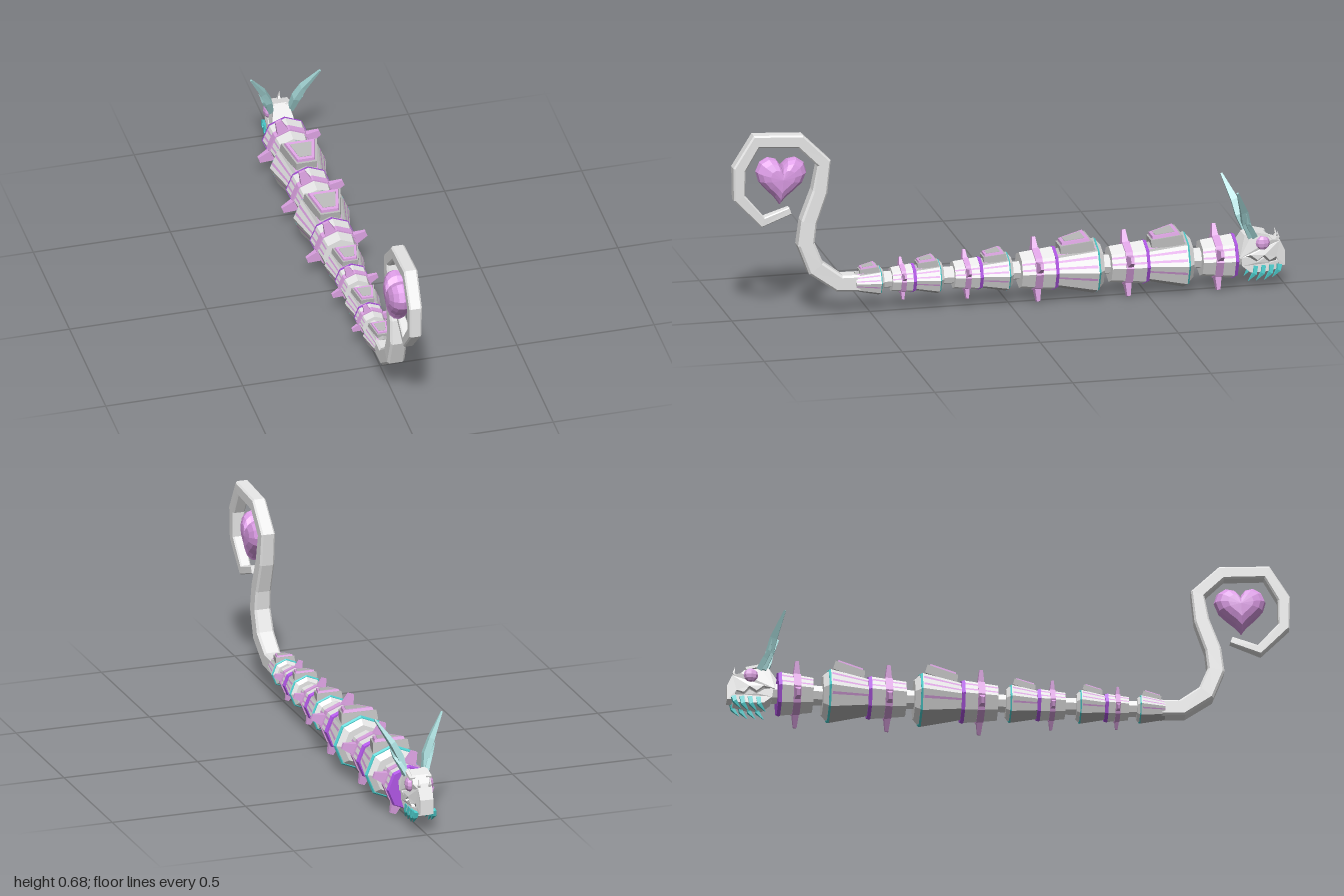
import * as THREE from 'three';

const mat = (name, color, side = THREE.FrontSide) => {
  const m = new THREE.MeshStandardMaterial({ color, side, flatShading: true });
  m.name = name;
  return m;
};
const AXIS = 0.115; // height of the body centre line

export function createModel() {
  const M = {
    light: mat('lightGrey', 0xe8e8e8),
    grey: mat('midGrey', 0xb8b8b8),
    dark: mat('darkGrey', 0x707070),
    pink: mat('pink', 0xdca2e2, THREE.DoubleSide),
    heart: mat('heartPink', 0xe2a0ec),
    purple: mat('purple', 0xbc5cf4),
    teal: mat('teal', 0x4fd2d2),
    horn: mat('paleTeal', 0xa4d6d6),
  };
  const model = new THREE.Group();
  const add = (parent, name, geo, material) => {
    const mesh = new THREE.Mesh(geo, material);
    mesh.name = name;
    parent.add(mesh);
    return mesh;
  };

  // Octagonal frustum along z, with corners on the axes
  const frustum = (z0, r0, z1, r1, open = false, start = 0, segs = 8) =>
    new THREE.CylinderGeometry(r1, r0, z1 - z0, segs, 1, open, start, segs * Math.PI / 4)
      .rotateX(Math.PI / 2).translate(0, 0, (z0 + z1) / 2);

  const meshGeo = (pos, index) => {
    const g = new THREE.BufferGeometry();
    g.setAttribute('position', new THREE.Float32BufferAttribute(pos, 3));
    g.setIndex(index);
    const flat = g.toNonIndexed();
    flat.computeVertexNormals();
    return flat;
  };

  // Tapered sweep through points [x, y, z, radius]; angles give the section corners
  const sweep = (pts, angles, squash = 1) => {
    const P = pts.map(p => new THREE.Vector3(p[0], p[1], p[2]));
    const pos = [], idx = [], n = P.length, sides = angles.length;
    P.forEach((p, i) => {
      const t = P[Math.min(i + 1, n - 1)].clone().sub(P[Math.max(i - 1, 0)]).normalize();
      const b = t.clone().cross(new THREE.Vector3(1, 0, 0)).normalize();
      const a = b.clone().cross(t);
      for (const deg of angles) {
        const w = deg * Math.PI / 180;
        const q = p.clone().addScaledVector(a, Math.cos(w) * pts[i][3] * squash)
          .addScaledVector(b, Math.sin(w) * pts[i][3]);
        pos.push(q.x, q.y, q.z);
      }
    });
    for (let i = 0; i < n - 1; i++) for (let k = 0; k < sides; k++) {
      const a = i * sides + k, b = i * sides + (k + 1) % sides;
      idx.push(a, b, a + sides, b, b + sides, a + sides);
    }
    const e = (n - 1) * sides;
    for (let k = 1; k < sides - 1; k++) idx.push(0, k + 1, k, e, e + k, e + k + 1);
    return meshGeo(pos, idx);
  };
  const SQUARE = [45, 135, 225, 315];
  const CHAMFERED = SQUARE.flatMap(a => [a - 8, a + 8]);

  // Box wider at its -z end and narrowed at the top
  const wedge = (w0, w1, len, h, top) => {
    const g = new THREE.BoxGeometry(1, h, len), p = g.attributes.position;
    for (let i = 0; i < p.count; i++) {
      const s = p.getY(i) > 0 ? top : 1;
      p.setXYZ(i, p.getX(i) * (p.getZ(i) < 0 ? w0 : w1) * s, p.getY(i), p.getZ(i) * s);
    }
    g.computeVertexNormals();
    return g;
  };

  // Thin stripe laid on one octagon face between two angles
  const stripe = (z0, r0, z1, r1, a0, a1) => {
    const mid = (Math.floor(a0 / 45) + 0.5) * 45, D = Math.PI / 180, pos = [];
    for (const [z, r] of [[z0, r0], [z1, r1]]) for (const a of [a0, a1]) {
      const q = r * Math.cos(22.5 * D) / Math.cos((a - mid) * D) + 0.0015;
      pos.push(Math.cos(a * D) * q, Math.sin(a * D) * q, z);
    }
    return meshGeo(pos, [0, 1, 2, 1, 3, 2]);
  };
  const stripes = (parent, angles, z0, r0, z1, r1) => {
    for (const a of angles) for (const s of [a, 174 - a])
      add(parent, 'sideStripe', stripe(z0, r0, z1, r1, s, s + 6), M.pink);
  };

  const body = new THREE.Group();
  body.name = 'body';
  body.position.y = AXIS;
  model.add(body);
  add(body, 'spine', frustum(-0.84, 0.038, 0.5, 0.03), M.light);

  // Cone segments: head-side z, tail-side z, wide radius, narrow radius
  const cones = [
    [-0.66, -0.49, 0.102, 0.068], [-0.335, -0.16, 0.102, 0.068],
    [-0.01, 0.11, 0.072, 0.052], [0.24, 0.347, 0.064, 0.045], [0.455, 0.555, 0.054, 0.036],
  ];
  for (const [z0, z1, r0, r1] of cones) {
    const seg = new THREE.Group();
    seg.name = 'coneSegment';
    body.add(seg);
    const zr = z0 + r0 * 0.25;
    for (let i = 0; i < 4; i++)
      add(seg, 'conePanel', frustum(zr, r0, z1, r1, true, (i - 0.5) * Math.PI / 2, 2), i % 2 ? M.light : M.grey);
    add(seg, 'coneEnd', frustum(z1 - 0.004, r1 * 0.99, z1, r1 * 0.97), M.grey);
    add(seg, 'coneBevel', frustum(z0, r0 * 0.72, zr, r0 * 0.99), M.light);
    add(seg, 'coneTrim', frustum(zr - r0 * 0.07, r0 * 0.95, zr, r0 * 1.002), M.teal);
    stripes(seg, [10, 30, 54, -20], zr + 0.004, r0, z1, r1);
    // Raised plate on top: grey base, pink rim, grey panel
    const plate = new THREE.Group();
    plate.name = 'topPlate';
    const L = (z1 - zr) * 0.74, w0 = r0 * 1.25, w1 = r1 * 1.05;
    plate.position.set(0, (r0 + r1) / 2, (zr + z1) / 2 - 0.004);
    plate.rotation.x = Math.atan2(r0 - r1, z1 - zr) * 0.85;
    seg.add(plate);
    [[1.08, 0.34, -0.04, M.grey, 0.95], [0.9, 0.12, 0.17, M.pink, 0.94], [0.64, 0.06, 0.215, M.grey, 0.98]]
      .forEach(([s, h, y, m, top]) => {
        const layer = add(plate, 'plateLayer', wedge(w0 * s, w1 * s, L * s, r0 * h, top), m);
        layer.position.y = r0 * y;
      });
  }

  // Spiked rings: head-side z, tail-side z, radii, spike reach
  const rings = [
    [-0.82, -0.695, 0.082, 0.066, 0.118], [-0.5, -0.365, 0.08, 0.066, 0.118],
    [-0.17, -0.04, 0.08, 0.066, 0.115], [0.1, 0.2, 0.06, 0.05, 0.088], [0.34, 0.425, 0.053, 0.044, 0.076],
  ];
  for (const [z0, z1, r0, r1, reach] of rings) {
    const ring = new THREE.Group();
    ring.name = 'spikedRing';
    body.add(ring);
    const zm = z0 + (z1 - z0) * 0.54, rm = (r0 + r1) / 2, hw = r0 * 0.16;
    add(ring, 'ringBody', frustum(z0 + 0.01, r0, z1, r1), M.light);
    add(ring, 'ringCollar', frustum(z0, r0 * 0.97, z0 + 0.012, r0 * 1.03), M.purple);
    add(ring, 'ringBand', frustum(zm - hw, rm + 0.006, zm + hw, rm + 0.004), M.pink);
    stripes(ring, [10, 30], z0 + 0.012, r0, z1, r1);
    for (let i = 0; i < 4; i++) {
      const arm = new THREE.Group();
      arm.name = 'spike';
      arm.rotation.z = (20 + i * 90 - 90) * Math.PI / 180;
      arm.position.z = zm;
      const lo = rm * 0.8;
      const g = new THREE.CylinderGeometry(reach * 0.12, reach * 0.26, reach - lo, 4).rotateY(Math.PI / 4);
      g.scale(1.1, 1, 0.6).translate(0, (reach + lo) / 2, 0);
      add(arm, 'spikeBlade', g, M.pink);
      ring.add(arm);
    }
  }

  // Curled tail
  add(model, 'tail', sweep([
    [0, 0.115, 0.54, 0.038], [0, 0.118, 0.615, 0.038], [0, 0.18, 0.7, 0.04], [0, 0.27, 0.735, 0.038],
    [0, 0.35, 0.725, 0.036], [0, 0.46, 0.685, 0.034], [0, 0.565, 0.67, 0.032], [0, 0.65, 0.755, 0.031],
    [0, 0.66, 0.915, 0.031], [0, 0.56, 0.976, 0.029], [0, 0.455, 0.976, 0.027], [0, 0.36, 0.89, 0.024],
    [0, 0.395, 0.79, 0.017]], CHAMFERED), M.light);

  // Domed heart inside the curl
  const hp = [], hi = [], N = 20, R = 8;
  for (let j = 0; j <= R; j++) for (let k = 0; k < N; k++) {
    const f = j / R * Math.PI, t = k / N * Math.PI * 2, s = Math.max(Math.sin(f), 0) ** 0.75;
    const u = 15 * Math.sin(t) ** 3 + 1.5 * Math.sin(t);
    const v = 13 * Math.cos(t) - 4.2 * Math.cos(2 * t) - 2 * Math.cos(3 * t) - Math.cos(4 * t);
    hp.push(-0.048 * Math.cos(f), v * 0.0062 * s, u * 0.0056 * s);
    if (j < R) {
      const a = j * N + k, b = j * N + (k + 1) % N;
      hi.push(a, b, a + N, b, b + N, a + N);
    }
  }
  const heart = add(model, 'heart', meshGeo(hp, hi), M.heart);
  heart.position.set(-0.017, 0.515, 0.82);
  heart.rotation.x = -0.06;
  heart.material.side = THREE.DoubleSide;

  // Head, cut from side profiles [z, y] and narrowed toward the snout
  const head = new THREE.Group();
  head.name = 'head';
  model.add(head);
  const slab = (pts, half) => {
    const g = new THREE.ExtrudeGeometry(new THREE.Shape(pts.map(([z, y]) => new THREE.Vector2(-z, y))),
      { depth: 2 * half, bevelEnabled: false }).translate(0, 0, -half).rotateY(Math.PI / 2);
    const p = g.attributes.position;
    for (let i = 0; i < p.count; i++) {
      const taper = 1 - 0.45 * THREE.MathUtils.smoothstep(-p.getZ(i), 0.91, 1);
      const roof = 1 - 0.4 * THREE.MathUtils.smoothstep(p.getY(i), 0.16, 0.22);
      p.setX(i, p.getX(i) * taper * roof);
    }
    g.computeVertexNormals();
    return g;
  };
  add(head, 'skull', slab([[-0.825, 0.15], [-0.85, 0.195], [-0.885, 0.21], [-0.925, 0.2], [-0.95, 0.175],
    [-0.98, 0.168], [-0.998, 0.13], [-0.998, 0.075], [-0.98, 0.075], [-0.965, 0.11], [-0.94, 0.1],
    [-0.92, 0.122], [-0.895, 0.105], [-0.87, 0.125], [-0.83, 0.115]], 0.044), M.light);
  add(head, 'jaw', slab([[-0.835, 0.12], [-0.87, 0.112], [-0.895, 0.095], [-0.92, 0.11], [-0.94, 0.09],
    [-0.975, 0.095], [-0.975, 0.065], [-0.93, 0.06], [-0.87, 0.06], [-0.84, 0.085]], 0.04), M.light);
  add(head, 'mouth', slab([[-0.85, 0.125], [-0.97, 0.12], [-0.965, 0.08], [-0.86, 0.08]], 0.03), M.dark);
  for (const s of [1, -1]) {
    const eye = add(head, 'eye', new THREE.SphereGeometry(0.026, 8, 6), M.pink);
    eye.scale.x = 0.6;
    eye.position.set(s * 0.037, 0.166, -0.915);
    const brow = add(head, 'brow', new THREE.BoxGeometry(0.02, 0.01, 0.06), M.light);
    brow.position.set(s * 0.031, 0.198, -0.905);
    brow.rotation.x = -0.25;
    add(head, 'noseHorn', sweep([[s * 0.018, 0.16, -0.965, 0.008], [s * 0.021, 0.18, -0.975, 0.005],
      [s * 0.022, 0.2, -0.97, 0.001]], SQUARE), M.light);
    // Swept-back horns
    add(head, 'longHorn', sweep([[s * 0.036, 0.19, -0.872, 0.016], [s * 0.05, 0.25, -0.85, 0.021],
      [s * 0.073, 0.298, -0.838, 0.018], [s * 0.126, 0.382, -0.803, 0.005]], SQUARE, 0.8), M.horn);
    add(head, 'shortHorn', sweep([[s * 0.036, 0.19, -0.885, 0.014], [s * 0.055, 0.228, -0.865, 0.013],
      [s * 0.07, 0.25, -0.852, 0.008], [s * 0.086, 0.288, -0.845, 0.001]], SQUARE, 0.8), M.horn);
    // Chin barbs
    for (let i = 0; i < 4; i++) {
      const z = -0.885 - i * 0.029, y = i === 3 ? 0.008 : 0;
      add(head, 'chinBarb', sweep([[s * 0.032, 0.082, z - 0.004, 0.012], [s * 0.036, 0.055 + y, z, 0.01],
        [s * 0.033, 0.028 + y, z + 0.022, 0.001]], SQUARE), M.teal);
    }
  }
  return model;
}
